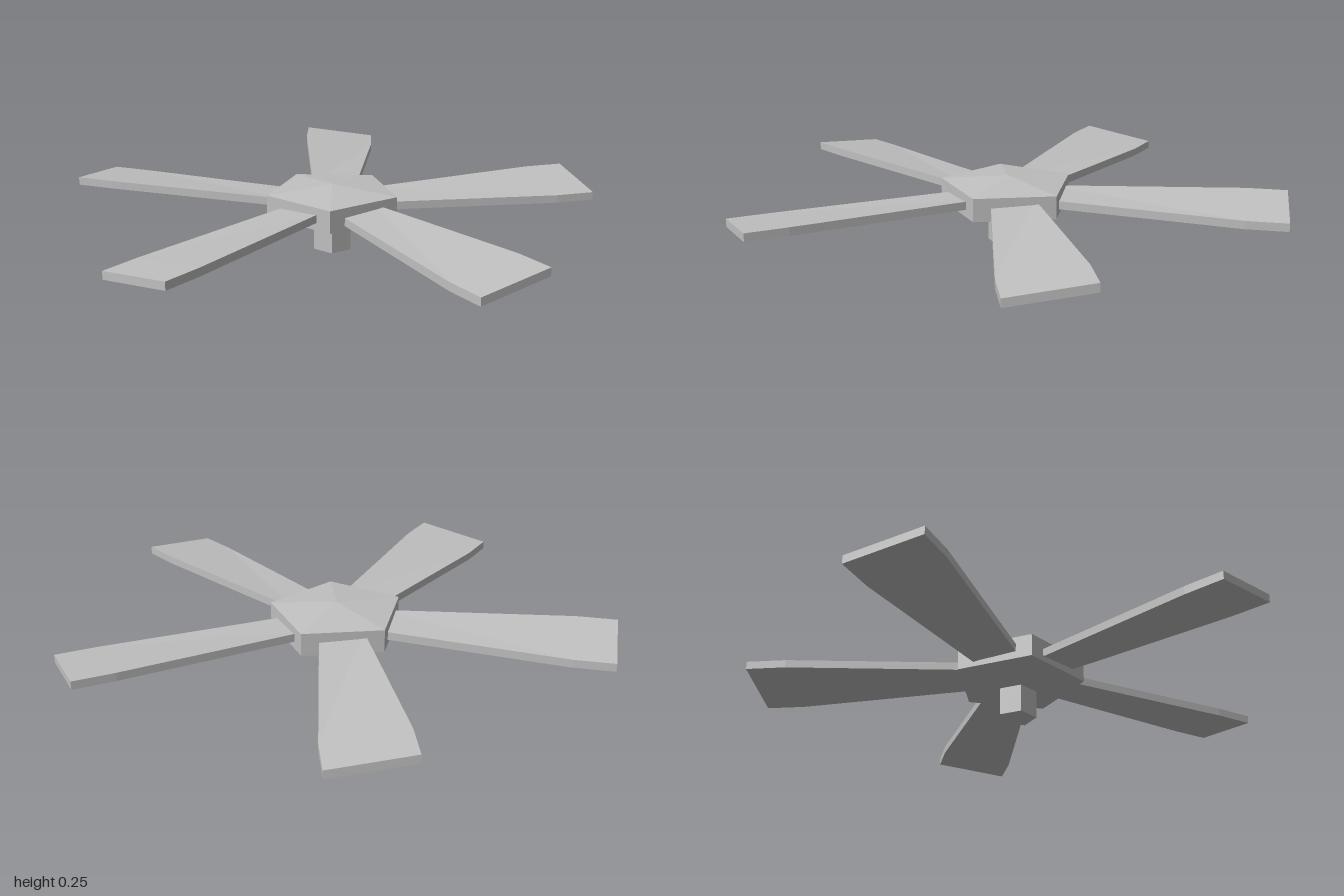
import * as THREE from 'three';

// One blade along +z: flared, and twisted so its +x edge is high
function bladeGeometry() {
  const sections = [ // z, half width, edge rise
    [0.15, 0.08, 0.004],
    [0.855, 0.143, 0.0175],
    [1.004, 0.143, 0.0175],
  ];
  const geo = new THREE.BoxGeometry(2, 0.03, 2, 1, 1, 2);
  const p = geo.attributes.position;
  for (let i = 0; i < p.count; i++) {
    const side = p.getX(i);
    const [z, w, rise] = sections[Math.round(p.getZ(i)) + 1];
    p.setXYZ(i, side * w, 0.178 + p.getY(i) + side * rise, z);
  }
  geo.computeVertexNormals();
  return geo;
}

export function createModel() {
  const group = new THREE.Group();
  const metal = new THREE.MeshStandardMaterial({ color: 0xc0c0c0, flatShading: true });
  metal.name = 'light grey metal';

  const fan = new THREE.Group();
  fan.name = 'fan';
  fan.position.z = -0.054;
  group.add(fan);

  // Five-sided hub with a shallow pointed cap and tapered underside
  const profile = [[0, 0.105], [0.073, 0.105], [0.251, 0.14], [0.251, 0.225], [0, 0.25]]
    .map(([r, y]) => new THREE.Vector2(r, y));
  const hub = new THREE.Mesh(new THREE.LatheGeometry(profile, 5, Math.PI), metal);
  hub.name = 'hub';
  fan.add(hub);

  // Five-sided stem
  const stem = new THREE.Mesh(new THREE.CylinderGeometry(0.073, 0.073, 0.11, 5), metal);
  stem.name = 'stem';
  stem.position.y = 0.055;
  stem.rotation.y = Math.PI;
  fan.add(stem);

  // Blades, one from each hub face
  const geo = bladeGeometry();
  for (let i = 0; i < 5; i++) {
    const blade = new THREE.Mesh(geo, metal);
    blade.name = `blade${i + 1}`;
    blade.rotation.y = (i * Math.PI * 2) / 5;
    fan.add(blade);
  }
  return group;
}
